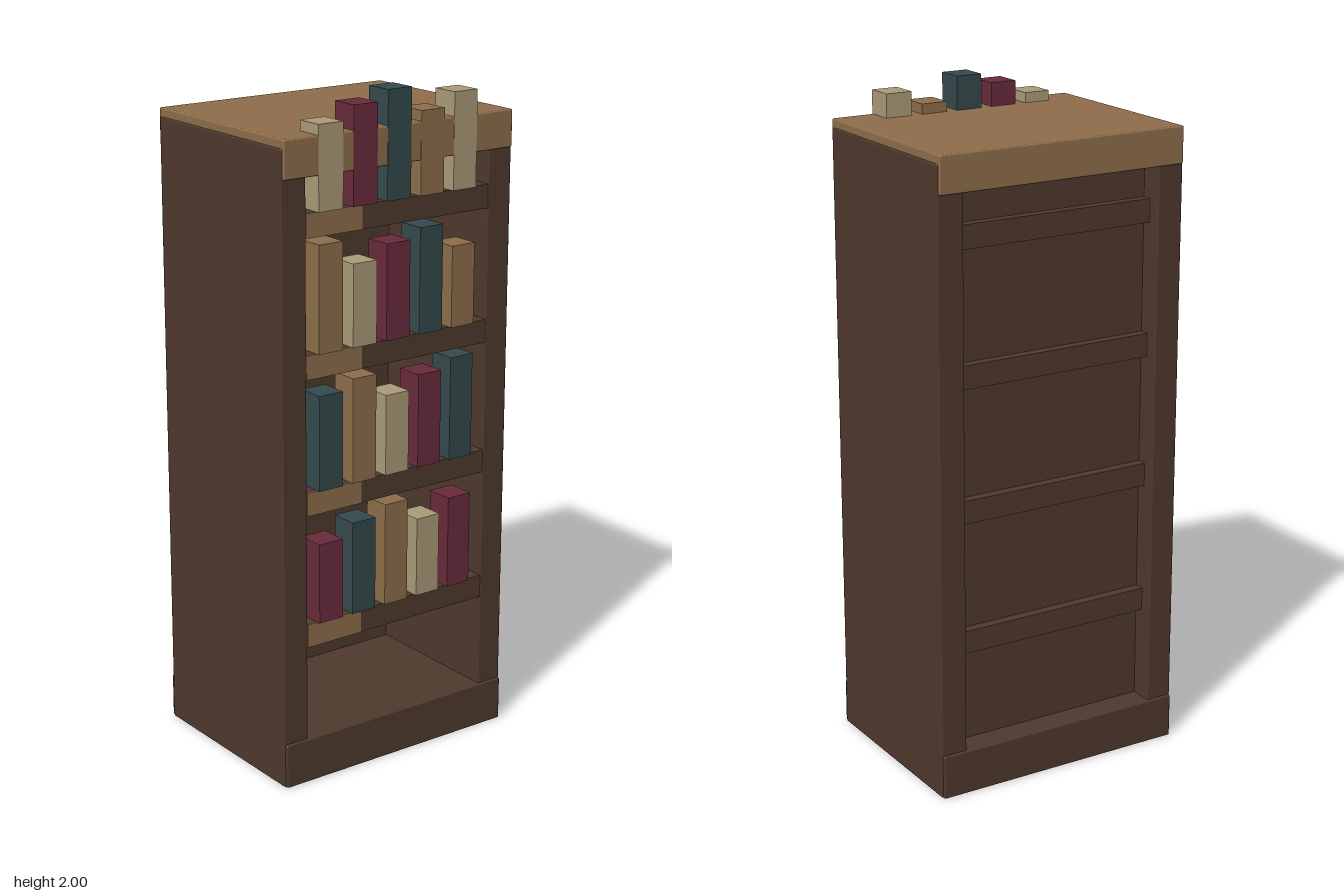
import * as THREE from 'three';
import { RoundedBoxGeometry } from 'three/addons/geometries/RoundedBoxGeometry.js';

const mat = (name, color) => {
  const m = new THREE.MeshStandardMaterial({ color });
  m.name = name;
  return m;
};

export function createModel() {
  const model = new THREE.Group();
  model.name = 'bookcase';
  const dark = mat('darkWood', 0x4f392d);
  const tan = mat('lightWood', 0x8e6e4b);
  const cream = mat('creamCover', 0xab9b78);
  const red = mat('maroonCover', 0x692b3c);
  const teal = mat('tealCover', 0x344a4c);

  // Box given by its limits on each axis; bevel softens the edges
  function box(name, material, [x0, x1], [y0, y1], [z0, z1], bevel = 0) {
    const size = [x1 - x0, y1 - y0, z1 - z0];
    const geo = bevel ? new RoundedBoxGeometry(...size, 1, bevel) : new THREE.BoxGeometry(...size);
    const mesh = new THREE.Mesh(geo, material);
    mesh.name = name;
    mesh.position.set((x0 + x1) / 2, (y0 + y1) / 2, (z0 + z1) / 2);
    model.add(mesh);
  }

  // Carcass
  box('rightSide', dark, [-0.403, -0.32], [0, 1.875], [-0.3, 0.3], 0.005);
  box('leftSide', dark, [0.32, 0.403], [0, 1.875], [-0.3, 0.3], 0.005);
  box('plinth', dark, [-0.4, 0.4], [0, 0.135], [-0.309, 0.309], 0.005);
  box('topBoard', tan, [-0.398, 0.398], [1.79, 1.9], [-0.309, 0.309], 0.005);
  box('backPanel', dark, [-0.325, 0.325], [0.1, 1.82], [-0.23, -0.16]);

  // Shelves, each with a light edge strip and a row of books
  const rows = [
    { top: 0.49, books: [[red, 0.24], [teal, 0.28], [tan, 0.31], [cream, 0.24], [red, 0.28]] },
    { top: 0.89, books: [[teal, 0.28], [tan, 0.31], [cream, 0.24], [red, 0.28], [teal, 0.31]] },
    { top: 1.29, books: [[tan, 0.31], [cream, 0.24], [red, 0.28], [teal, 0.31], [tan, 0.24]] },
    { top: 1.69, books: [[cream, 0.24], [red, 0.28], [teal, 0.31], [tan, 0.24], [cream, 0.28]] },
  ];
  for (const { top, books } of rows) {
    box('shelf', dark, [-0.325, 0.325], [top - 0.07, top], [-0.26, 0.298]);
    box('shelfEdge', tan, [-0.32, -0.13], [top - 0.07, top], [0.296, 0.3]);
    books.forEach(([cover, height], i) => {
      const x = -0.244 + i * 0.117;
      box('book', cover, [x - 0.041, x + 0.041], [top, top + height], [0.224, 0.31]);
    });
  }
  return model;
}
